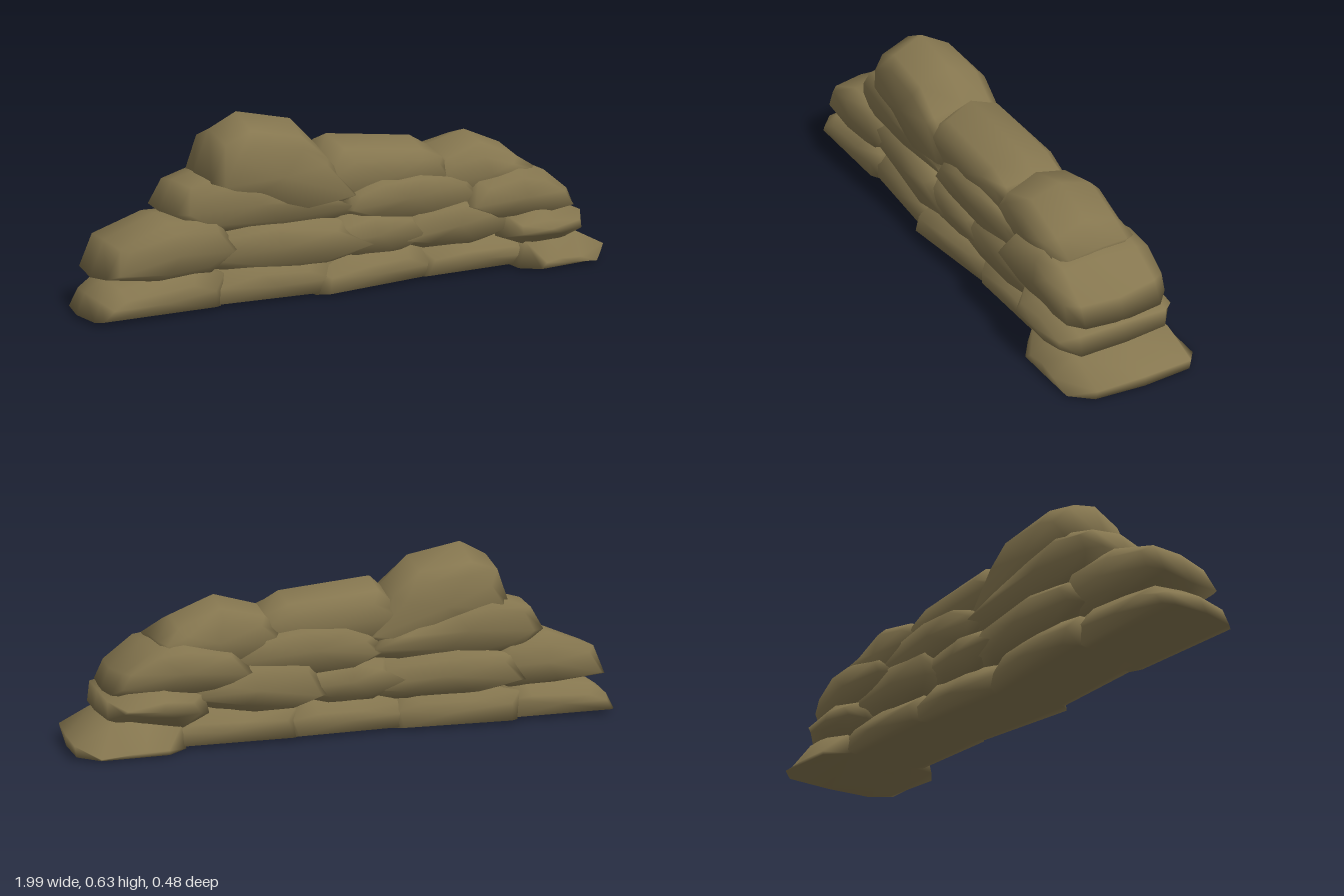
import * as THREE from 'three';

const stoneMaterial = new THREE.MeshStandardMaterial({ color: 0x85764f });
stoneMaterial.name = 'mossy brown stone';

// Small seeded generator for the rough surface, range -1..1
function makeNoise(seed) {
  let s = seed * 7919 + 17;
  return () => {
    s = (s * 16807) % 2147483647;
    return (s / 2147483647) * 2 - 1;
  };
}

// Loft a stone from its face outline: rings run from back to front and shrink
// towards the ends. 'anchor' is the height the rings shrink to, 'endWidth' the
// width of the end faces, 'skew' slides the ends along x, 'tilt' turns the faces.
function stoneGeometry(outline, back, front, seed, options) {
  const { anchor, shoulder = 0.88, end = 0.58, endWidth = 0.82, skew = 0, tilt = 0 } = options;
  const noise = makeNoise(seed);
  let pts = outline.map(([x, y]) => new THREE.Vector2(x, y));
  if (THREE.ShapeUtils.isClockWise(pts)) pts = pts.reverse();
  const n = pts.length;
  const cx = pts.reduce((a, p) => a + p.x, 0) / n;
  const meanY = pts.reduce((a, p) => a + p.y, 0) / n;
  const cy = anchor ?? meanY;
  const rings = [[-1, end, endWidth], [-0.72, shoulder, 0.95], [0, 1, 1], [0.72, shoulder, 0.95], [1, end, endWidth]];
  const mid = (back + front) / 2, half = (front - back) / 2;
  const pos = [], index = [];

  rings.forEach(([t, sy, sx], k) => {
    const isEnd = k === 0 || k === rings.length - 1;
    const rough = k === 2 ? 0 : 0.008;
    for (const p of pts) {
      const flat = anchor !== undefined && p.y < anchor + 0.02;
      const dx = (p.x - cx) * sx;
      pos.push(
        cx + dx + skew * t + noise() * rough,
        cy + (p.y - cy) * sy + (flat ? 0 : noise() * rough),
        mid + half * t + tilt * dx - (isEnd ? Math.sign(t) * Math.abs(noise()) * 0.02 : 0)
      );
    }
  });
  for (let k = 0; k < rings.length - 1; k++) {
    for (let i = 0; i < n; i++) {
      const j = (i + 1) % n, a = k * n + i, b = k * n + j;
      index.push(a, b, b + n, a, b + n, a + n);
    }
  }
  // Back and front faces, fanned from a centre point
  for (const k of [0, rings.length - 1]) {
    const c = pos.length / 3;
    pos.push(cx + skew * rings[k][0], cy + (meanY - cy) * end, k ? front : back);
    for (let i = 0; i < n; i++) {
      const a = k * n + i, b = k * n + (i + 1) % n;
      if (k) index.push(a, b, c); else index.push(b, a, c);
    }
  }
  const g = new THREE.BufferGeometry();
  g.setAttribute('position', new THREE.Float32BufferAttribute(pos, 3));
  g.setIndex(index);
  g.computeVertexNormals();
  return g;
}

export function createModel() {
  const model = new THREE.Group();
  model.name = 'stoneWall';
  let seed = 1;
  const stone = (name, outline, back, front, options = {}) => {
    const mesh = new THREE.Mesh(stoneGeometry(outline, back, front, seed++, options), stoneMaterial);
    mesh.name = name;
    model.add(mesh);
  };

  // Base course, resting on the ground and sloping outwards
  const base = { anchor: 0.02, shoulder: 0.9, end: 0.5 };
  stone('baseStoneFarRight', [[-1, 0.01], [-0.97, 0.08], [-0.9, 0.125], [-0.62, 0.16], [-0.52, 0.12], [-0.53, 0.005]], -0.15, 0.165, base);
  stone('baseStoneRight', [[-0.6, 0.005], [-0.6, 0.11], [-0.4, 0.16], [-0.2, 0.15], [-0.1, 0.1], [-0.11, 0]], -0.165, 0.155, { ...base, tilt: 0.08 });
  stone('baseStoneMiddle', [[-0.2, 0], [-0.2, 0.1], [0, 0.15], [0.18, 0.15], [0.28, 0.1], [0.27, 0.005]], -0.16, 0.17, { ...base, tilt: -0.06 });
  stone('baseStoneLeft', [[0.2, 0.005], [0.22, 0.12], [0.4, 0.15], [0.62, 0.13], [0.72, 0.08], [0.72, 0.005]], -0.18, 0.16, base);
  stone('baseStoneFarLeft', [[0.6, 0.005], [0.62, 0.1], [0.74, 0.13], [0.86, 0.12], [0.99, 0.045], [0.99, 0.01]], -0.24, 0.24,
    { anchor: 0.005, shoulder: 0.88, end: 0.2, endWidth: 0.6, skew: -0.01, tilt: -0.05 });

  // Second course
  stone('secondStoneFarRight', [[-0.95, 0.13], [-0.9, 0.25], [-0.72, 0.32], [-0.54, 0.31], [-0.46, 0.2], [-0.56, 0.11], [-0.75, 0.11]], -0.15, 0.165);
  stone('secondStoneRight', [[-0.64, 0.14], [-0.58, 0.26], [-0.35, 0.3], [-0.08, 0.26], [0.08, 0.15], [-0.13, 0.09], [-0.4, 0.09]], -0.17, 0.155, { tilt: 0.06 });
  stone('secondStoneMiddle', [[-0.2, 0.17], [-0.1, 0.26], [0.02, 0.28], [0.2, 0.25], [0.27, 0.15], [0.12, 0.09], [-0.05, 0.1]], -0.165, 0.165);
  stone('secondStoneLeft', [[0.1, 0.14], [0.17, 0.27], [0.4, 0.3], [0.58, 0.25], [0.65, 0.15], [0.43, 0.09], [0.23, 0.09]], -0.185, 0.165, { tilt: 0.03 });
  stone('secondStoneFarLeft', [[0.53, 0.11], [0.55, 0.2], [0.7, 0.24], [0.88, 0.19], [0.89, 0.12], [0.78, 0.08], [0.64, 0.07]], -0.22, 0.225,
    { shoulder: 0.92, end: 0.35, endWidth: 0.7 });

  // Third course
  stone('thirdStoneFarRight', [[-0.7, 0.32], [-0.65, 0.42], [-0.5, 0.46], [-0.34, 0.44], [-0.1, 0.34], [0.03, 0.25], [-0.3, 0.22], [-0.6, 0.25]], -0.165, 0.145);
  stone('thirdStoneMiddle', [[-0.1, 0.27], [-0.06, 0.35], [0.04, 0.4], [0.22, 0.4], [0.44, 0.35], [0.52, 0.25], [0.3, 0.19], [0, 0.21]], -0.17, 0.16);
  stone('thirdStoneLeft', [[0.36, 0.24], [0.44, 0.34], [0.62, 0.38], [0.73, 0.35], [0.84, 0.26], [0.87, 0.19], [0.7, 0.16], [0.5, 0.17]], -0.2, 0.19, { end: 0.62 });

  // Top course, ridged along the middle
  const ridge = { shoulder: 0.79, end: 0.6 };
  stone('topStoneRight', [[-0.58, 0.43], [-0.52, 0.58], [-0.42, 0.63], [-0.22, 0.59], [-0.12, 0.49], [0, 0.31], [-0.2, 0.27], [-0.45, 0.36]], -0.152, 0.155, { ...ridge, anchor: 0.37 });
  stone('topStoneMiddle', [[-0.2, 0.42], [-0.08, 0.525], [0.25, 0.49], [0.34, 0.44], [0.38, 0.36], [0.2, 0.3], [-0.1, 0.3]], -0.145, 0.14, { ...ridge, anchor: 0.34 });
  stone('topStoneLeft', [[0.23, 0.35], [0.33, 0.45], [0.48, 0.49], [0.63, 0.43], [0.71, 0.37], [0.68, 0.29], [0.45, 0.24]], -0.165, 0.145, { ...ridge, anchor: 0.31 });
  return model;
}
